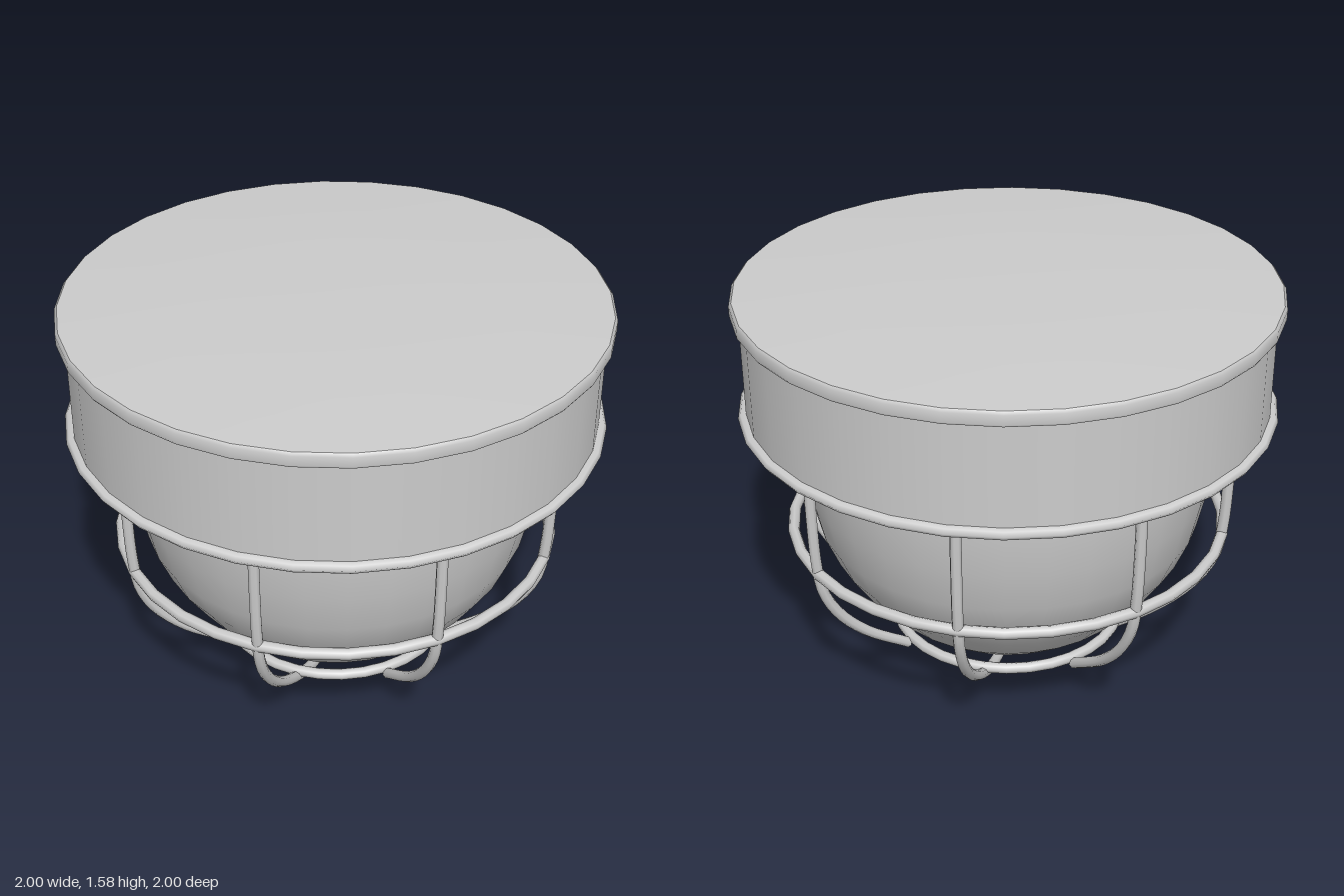
import * as THREE from 'three';
import { mergeGeometries } from 'three/addons/utils/BufferGeometryUtils.js';

const SIDES = 32;
const material = new THREE.MeshStandardMaterial({ color: 0xcccccc });
const vec2 = ([r, y]) => new THREE.Vector2(r, y);

// Revolves each run of [radius, y] points on its own, so runs meet at sharp edges.
function revolve(runs) {
  return mergeGeometries(runs.map((run) => new THREE.LatheGeometry(run.map(vec2), SIDES)));
}

function add(parent, name, geometry) {
  const mesh = new THREE.Mesh(geometry, material);
  mesh.name = name;
  parent.add(mesh);
  return mesh;
}

function addRing(parent, name, radius, y, wire) {
  const ring = add(parent, name, new THREE.TorusGeometry(radius, wire, 8, SIDES));
  ring.rotation.x = Math.PI / 2;
  ring.position.y = y;
}

function wireGeometry(points, segments) {
  const path = new THREE.CatmullRomCurve3(points.map(([r, y]) => new THREE.Vector3(r, y, 0)));
  return new THREE.TubeGeometry(path, segments, 0.021, 8, false);
}

export function createModel() {
  const model = new THREE.Group();
  model.name = 'cagedCeilingLamp';

  // Drum housing with a rolled lip at each end and a slightly crowned lid
  add(model, 'housing', revolve([
    [[0, 1.09], [0.97, 1.09]],
    [[0.97, 1.09], [0.99, 1.093], [1, 1.108], [0.99, 1.123], [0.97, 1.127]],
    [[0.97, 1.127], [0.97, 1.51]],
    [[0.97, 1.51], [0.995, 1.51]],
    [[0.995, 1.51], [1, 1.518], [1, 1.553], [0.99, 1.564]],
    [[0.99, 1.564], [0.7, 1.582], [0.4, 1.594], [0, 1.598]],
  ]));

  // Glass dome
  add(model, 'glassDome', revolve([
    [[0, 0.13], [0.14, 0.135], [0.28, 0.16], [0.39, 0.205], [0.5, 0.29], [0.6, 0.4],
      [0.68, 0.52], [0.73, 0.64], [0.765, 0.8], [0.785, 0.95], [0.79, 1.09]],
  ]));

  // Wire cage
  const cage = new THREE.Group();
  cage.name = 'wireCage';
  model.add(cage);
  addRing(cage, 'mountingRing', 0.862, 1.075, 0.03);
  addRing(cage, 'middleRing', 0.827, 0.612, 0.022);
  addRing(cage, 'lowerRing', 0.44, 0.18, 0.021);

  // Half of a rib, from the mounting ring down to the lower ring
  const rib = [[0.84, 1.08], [0.838, 0.85], [0.83, 0.66], [0.81, 0.53], [0.75, 0.41],
    [0.64, 0.29], [0.46, 0.165]];
  const base = [[0.24, 0.068], [0, 0.035]];
  const half = [...rib, ...base];
  const mirrored = half.slice(0, -1).reverse().map(([r, y]) => [-r, y]);

  // Two full arches cross under the dome
  const archGeometry = wireGeometry([...half, ...mirrored], 56);
  for (let i = 0; i < 2; i++) {
    add(cage, 'archRib', archGeometry).rotation.y = i * Math.PI / 2;
  }

  // Four diagonal ribs stop at the lower ring
  const shortGeometry = wireGeometry(rib, 24);
  for (let i = 0; i < 4; i++) {
    add(cage, 'diagonalRib', shortGeometry).rotation.y = Math.PI / 4 + i * Math.PI / 2;
  }

  // Rest the arches on the ground plane
  model.children.forEach((part) => { part.position.y -= 0.014; });
  const root = new THREE.Group();
  root.name = 'lamp';
  root.add(model);
  model.position.y = 0.014 - 0.012;
  model.children.forEach((part) => { part.position.y += 0.012; });
  return root;
}
